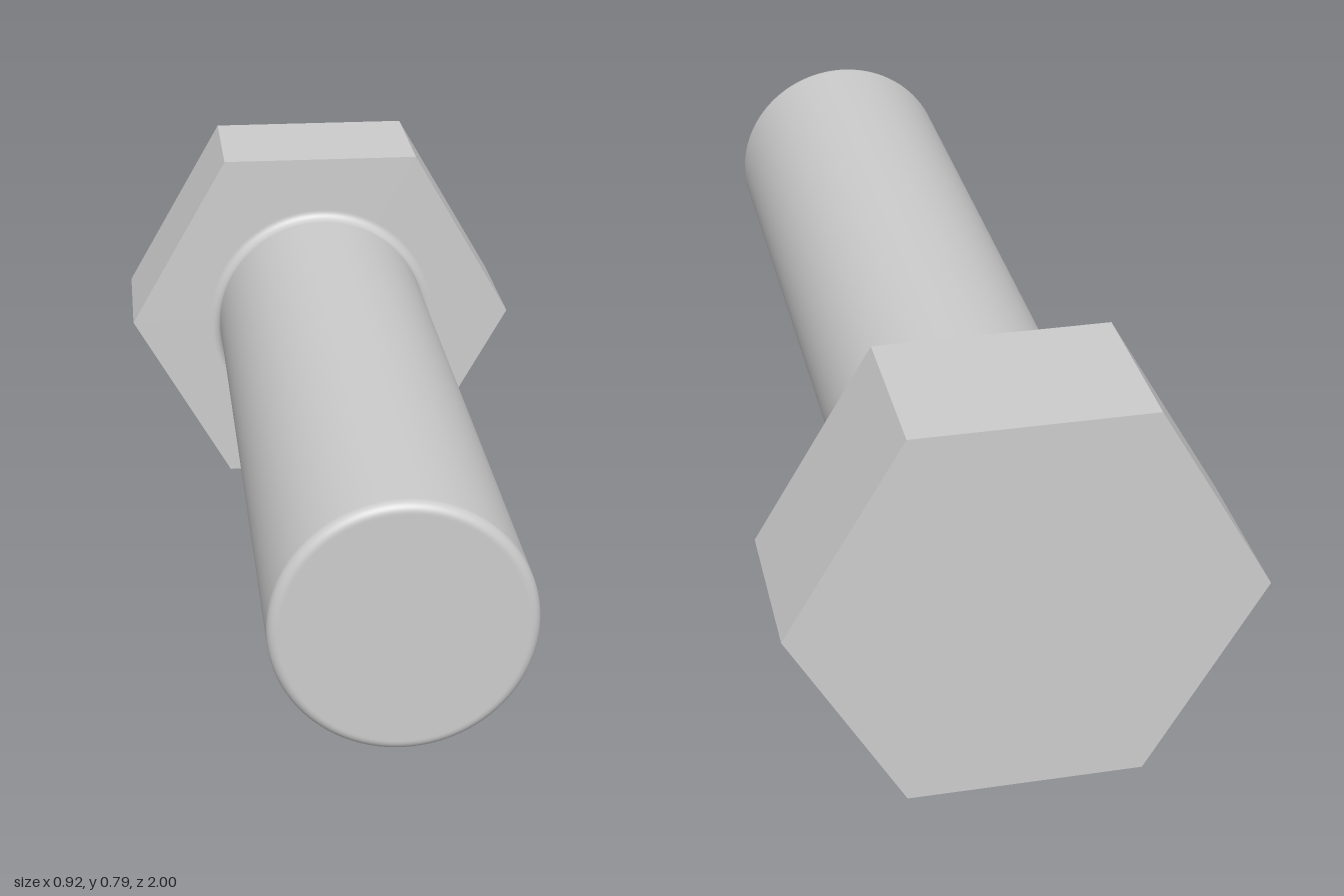
import * as THREE from 'three';

const APOTHEM = 0.3965;      // half the width across the flats
const HEAD_BACK = -1, HEAD_FRONT = -0.667, TIP = 1;
const SHANK_R = 0.248, FILLET = 0.022, ROUND = 0.02;

// Quarter arc as [radius, z] profile points
function arc(cx, cz, r, from, to, steps = 10) {
  return Array.from({ length: steps + 1 }, (_, i) => {
    const a = from + (to - from) * i / steps;
    return new THREE.Vector2(cx + r * Math.cos(a), cz + r * Math.sin(a));
  });
}

export function createModel() {
  const bolt = new THREE.Group();
  bolt.name = 'hexBolt';

  // Hexagonal head, corners on the left and right
  const headGeo = new THREE.CylinderGeometry(1, 1, HEAD_FRONT - HEAD_BACK, 6, 1, false, Math.PI / 2);
  const radius = APOTHEM / Math.cos(Math.PI / 6);
  headGeo.scale(radius, 1, radius).rotateX(Math.PI / 2);
  const head = new THREE.Mesh(headGeo, new THREE.MeshStandardMaterial({ color: 0xcccccc, flatShading: true }));
  head.name = 'head';
  head.position.set(0, APOTHEM, (HEAD_BACK + HEAD_FRONT) / 2);
  bolt.add(head);

  // Round shank: concave fillet at the head, rounded edge at the tip.
  // The extra points beside the arcs keep the straight parts shaded evenly.
  const profile = [
    ...arc(SHANK_R + FILLET, HEAD_FRONT + FILLET, FILLET, Math.PI * 1.5, Math.PI),
    new THREE.Vector2(SHANK_R, HEAD_FRONT + FILLET + 0.003),
    new THREE.Vector2(SHANK_R, TIP - ROUND - 0.003),
    ...arc(SHANK_R - ROUND, TIP - ROUND, ROUND, 0, Math.PI / 2),
    new THREE.Vector2(SHANK_R - ROUND - 0.003, TIP),
    new THREE.Vector2(0, TIP),
  ];
  const shankGeo = new THREE.LatheGeometry(profile, 96).rotateX(Math.PI / 2);
  const shank = new THREE.Mesh(shankGeo, new THREE.MeshStandardMaterial({ color: 0xcccccc }));
  shank.name = 'shank';
  shank.position.y = APOTHEM;
  bolt.add(shank);

  return bolt;
}
